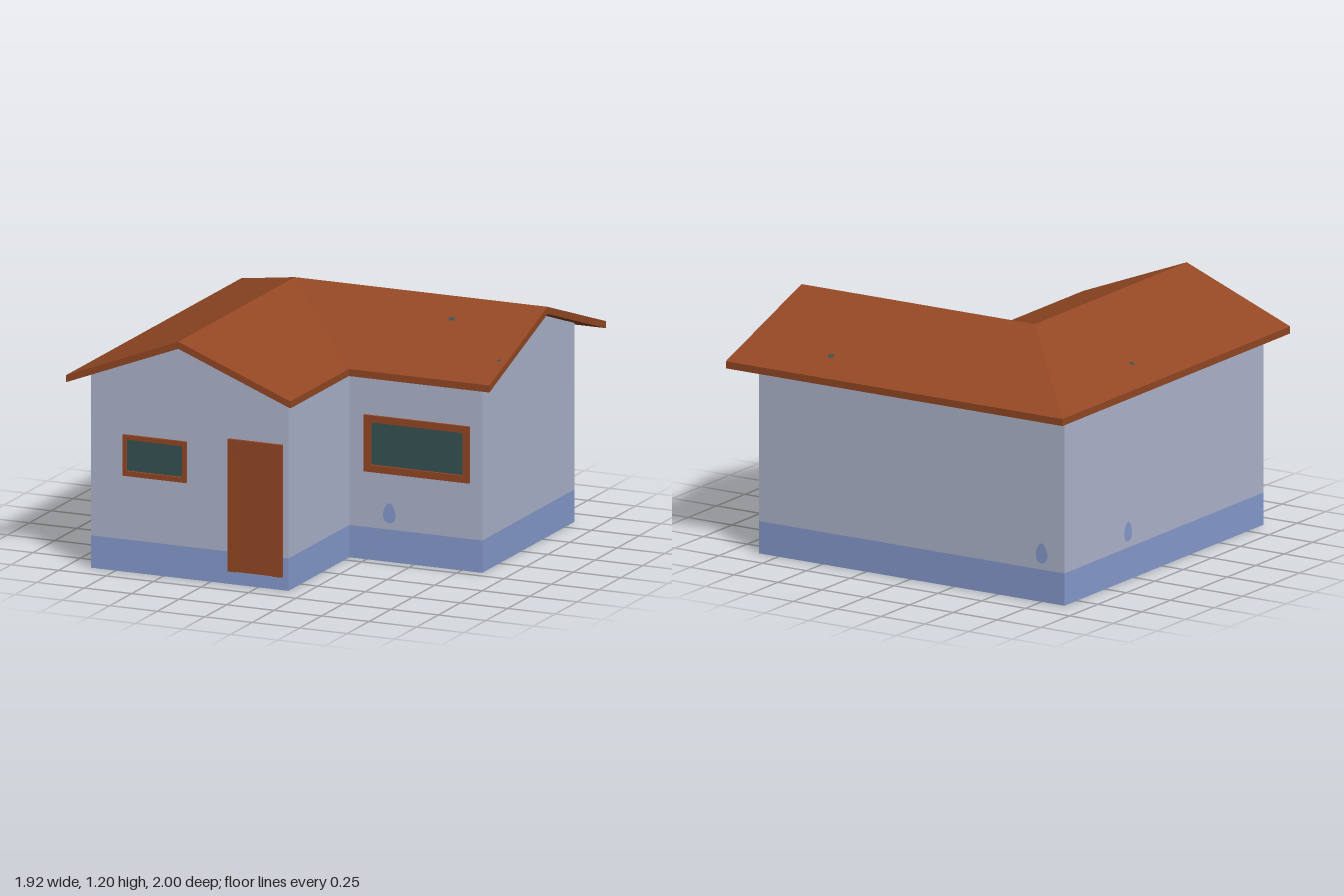
import * as THREE from 'three';

const EAVE = 0.97, RIDGE = 1.2, THICK = 0.035, BAND = 0.16;
const RX = -0.37, RZ = -0.335; // ridge lines of the two wings
const roofByX = x => RIDGE - (RIDGE - EAVE) * Math.abs(x - RX) / 0.59;
const roofByZ = z => RIDGE - (RIDGE - EAVE) * Math.abs(z - RZ) / 0.665;
const under = y => y - THICK + 0.004; // wall tops tuck just into the roof slab

const mat = (name, color, side = THREE.FrontSide) => {
  const m = new THREE.MeshStandardMaterial({ color, side });
  m.name = name;
  return m;
};

const v2 = pts => pts.map(([x, y]) => new THREE.Vector2(x, y));
const rect = (x0, y0, x1, y1) => [[x0, y0], [x1, y0], [x1, y1], [x0, y1]];

// Egg-shaped patch of bare paint, narrower at the top
function patch(u, y) {
  const pts = [];
  for (let i = 0; i < 14; i++) {
    const a = i / 14 * Math.PI * 2, s = Math.sin(a);
    pts.push([u + Math.cos(a) * (0.033 - 0.008 * s), y + s * 0.05]);
  }
  return pts;
}

export function createModel() {
  const house = new THREE.Group();
  house.name = 'house';
  const plaster = mat('pale plaster', 0xb0b7d0, THREE.DoubleSide);
  const blue = mat('blue base paint', 0x879cd0, THREE.DoubleSide);
  const brown = mat('brown wood and tile', 0x954824);
  const brownPanel = brown;
  const glass = mat('dark glass', 0x365254, THREE.DoubleSide);

  const add = (parent, name, geo, material) => {
    const m = new THREE.Mesh(geo, material);
    m.name = name;
    parent.add(m);
    return m;
  };

  const flat = (pts, holes = []) => {
    const s = new THREE.Shape(v2(pts));
    holes.forEach(h => s.holes.push(new THREE.Path(v2(h))));
    return new THREE.ShapeGeometry(s);
  };
  const slab = (pts, depth, holes = []) => {
    const s = new THREE.Shape(v2(pts));
    holes.forEach(h => s.holes.push(new THREE.Path(v2(h))));
    return new THREE.ExtrudeGeometry(s, { depth, bevelEnabled: false });
  };

  // A wall is drawn in its own plane (u, y), then turned and moved out by dist.
  // top lists the upper outline from right to left.
  function wall(name, turn, dist, u0, u1, top, { door, windows = [], patches = [] } = {}) {
    const g = new THREE.Group();
    g.name = name;
    g.rotation.y = turn;
    g.position.set(Math.sin(turn) * dist, 0, Math.cos(turn) * dist);
    house.add(g);
    let foot = [[u0, BAND], [u1, BAND]];
    let bandTop = [[u1, BAND], [u0, BAND]];
    if (door) {
      const [a, b, c, d] = door;
      foot = [[u0, BAND], [a, BAND], [a, d], [c, d], [c, BAND], [u1, BAND]];
      bandTop = [[u1, BAND], [c, BAND], [c, b], [a, b], [a, BAND], [u0, BAND]];
    }
    const spots = patches.map(([u, y]) => patch(u, y));
    const openings = windows.map(w => rect(...w.inner));
    add(g, 'plaster', flat([...foot, ...top], [...openings, ...spots]), plaster);
    add(g, 'baseBand', flat([[u0, 0], [u1, 0], ...bandTop]), blue);
    spots.forEach(s => add(g, 'paintPatch', flat(s), blue));
    windows.forEach(w => {
      add(g, 'windowFrame', slab(rect(...w.outer), 0.013, [rect(...w.inner)]), brown);
      add(g, 'windowGlass', flat(rect(...w.inner)), glass);
    });
    return g;
  }

  const gableX = [[0.16, under(roofByX(0.16))], [RX, under(RIDGE)], [-0.88, under(roofByX(-0.88))]];
  const gableZ = [[0.86, under(roofByZ(-0.86))], [-RZ, under(RIDGE)], [-0.195, under(roofByZ(0.195))]];
  const level = (u0, u1, y) => [[u1, under(y)], [u0, under(y)]];
  const q = Math.PI / 2;

  // Walls of the L-shaped plan, open underneath
  const doorHole = [-0.15, 0.065, 0.125, 0.715];
  const front = wall('frontGableWall', 0, 0.89, -0.88, 0.16, gableX, {
    door: doorHole,
    windows: [{ outer: [-0.708, 0.477, -0.375, 0.68], inner: [-0.69, 0.502, -0.395, 0.657] }],
  });
  wall('frontSideWall', 0, 0.195, 0.16, 0.86, level(0.16, 0.86, roofByZ(0.195)), {
    windows: [{ outer: [0.24, 0.437, 0.795, 0.717], inner: [0.278, 0.472, 0.762, 0.683] }],
    patches: [[0.37, 0.24]],
  });
  wall('innerSideWall', q, 0.16, -0.89, -0.195, level(-0.89, -0.195, roofByX(0.16)));
  wall('rightGableWall', q, 0.86, -0.195, 0.86, gableZ);
  wall('backWall', 2 * q, 0.86, -0.86, 0.88, level(-0.86, 0.88, roofByZ(-0.86)), { patches: [[0.75, 0.24]] });
  wall('leftWall', -q, 0.88, -0.86, 0.89, level(-0.86, 0.89, roofByX(-0.88)), { patches: [[-0.3, 0.24]] });

  // Door with a three-sided frame
  const d = 0.065;
  add(front, 'doorFrame', slab([[-0.155, d], [-0.11, d], [-0.11, 0.66], [0.082, 0.66],
    [0.082, d], [0.13, d], [0.13, 0.72], [-0.155, 0.72]], 0.015), brown);
  add(front, 'doorPanel', slab(rect(-0.11, d, 0.082, 0.66), 0.007), brownPanel);

  // Roof: eight outline corners plus the meeting point of the ridges
  const plan = [[-0.96, -1, EAVE], [0.96, -1, EAVE], [0.96, RZ, RIDGE], [0.96, 0.33, EAVE],
    [0.22, 0.33, EAVE], [0.22, 1, EAVE], [RX, 1, RIDGE], [-0.96, 1, EAVE], [RX, RZ, RIDGE]];
  const pos = [];
  const corner = (i, drop) => pos.push(plan[i][0], plan[i][2] - drop, plan[i][1]);
  const quad = list => [0, 1, 2, 0, 2, 3].forEach(k => corner(...list[k]));
  for (const [a, b, c, e] of [[0, 8, 2, 1], [0, 7, 6, 8], [8, 4, 3, 2], [8, 6, 5, 4]]) {
    quad([[a, 0], [b, 0], [c, 0], [e, 0]]);
    quad([[e, THICK], [c, THICK], [b, THICK], [a, THICK]]);
  }
  for (let i = 0; i < 8; i++) {
    const j = (i + 1) % 8;
    quad([[i, 0], [j, 0], [j, THICK], [i, THICK]]);
  }
  const roof = new THREE.BufferGeometry();
  roof.setAttribute('position', new THREE.Float32BufferAttribute(pos, 3));
  roof.computeVertexNormals();
  add(house, 'roof', roof, brown);

  // Small dark chips lying on the roof slopes
  const chips = [[0.47, -0.83, 0.017, false], [-0.81, -0.16, 0.014, true],
    [0.54, -0.15, 0.016, false], [0.92, 0.13, 0.01, false]];
  for (const [x, z, r, byX] of chips) {
    const geo = new THREE.CircleGeometry(r, 7).rotateX(-q).translate(x, 0, z);
    const p = geo.attributes.position;
    for (let i = 0; i < p.count; i++) {
      p.setY(i, (byX ? roofByX(p.getX(i)) : roofByZ(p.getZ(i))) + 0.002);
    }
    geo.computeVertexNormals();
    add(house, 'roofChip', geo, glass);
  }
  return house;
}
